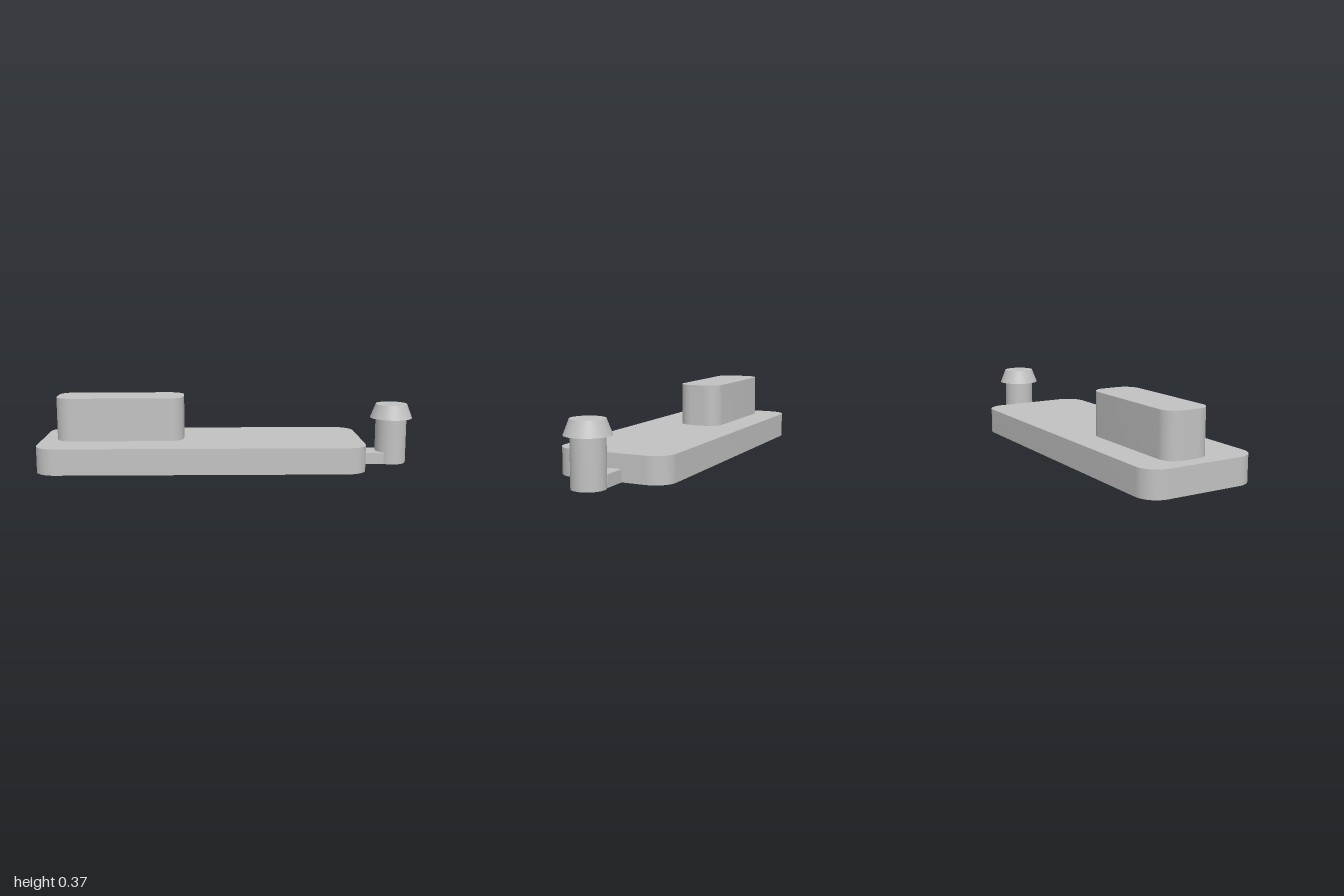
import * as THREE from 'three';
import { toCreasedNormals } from 'three/addons/utils/BufferGeometryUtils.js';

// Upright prism with rounded vertical corners, given by its x, z and y ranges
function roundedSlab(x0, x1, z0, z1, y0, y1, r) {
  const a = -z1, b = -z0; // shape y becomes -z once laid flat
  const s = new THREE.Shape();
  s.moveTo(x0 + r, a);
  s.lineTo(x1 - r, a);
  s.absarc(x1 - r, a + r, r, -Math.PI / 2, 0);
  s.lineTo(x1, b - r);
  s.absarc(x1 - r, b - r, r, 0, Math.PI / 2);
  s.lineTo(x0 + r, b);
  s.absarc(x0 + r, b - r, r, Math.PI / 2, Math.PI);
  s.lineTo(x0, a + r);
  s.absarc(x0 + r, a + r, r, Math.PI, Math.PI * 1.5);
  const geo = new THREE.ExtrudeGeometry(s, { depth: y1 - y0, bevelEnabled: false, curveSegments: 16 });
  geo.rotateX(-Math.PI / 2);
  geo.translate(0, y0, 0);
  return toCreasedNormals(geo, 0.5);
}

export function createModel() {
  const model = new THREE.Group();
  const grey = new THREE.MeshStandardMaterial({ color: 0xc2c2c2 });
  grey.name = 'light grey';

  const add = (name, geo, x = 0, y = 0, z = 0) => {
    const mesh = new THREE.Mesh(geo, grey);
    mesh.name = name;
    mesh.position.set(x, y, z);
    model.add(mesh);
  };

  // Flat body and the off-centre raised block
  add('basePlate', roundedSlab(-1, 0.715, -0.304, 0.304, 0, 0.137, 0.105));
  add('raisedBlock', roundedSlab(-0.92, -0.24, -0.144, 0.099, 0.137, 0.366, 0.08));

  // Thin strap joining the plate to the pin
  add('strap', new THREE.BoxGeometry(0.14, 0.063, 0.144), 0.77, 0.0315, 0);

  // Pin with a flared, tapering head
  const pinX = 0.887;
  add('pinStem', new THREE.CylinderGeometry(0.083, 0.083, 0.245, 48), pinX, 0.1225, 0);
  add('pinHead', new THREE.CylinderGeometry(0.084, 0.113, 0.075, 48), pinX, 0.2825, 0);

  return model;
}
